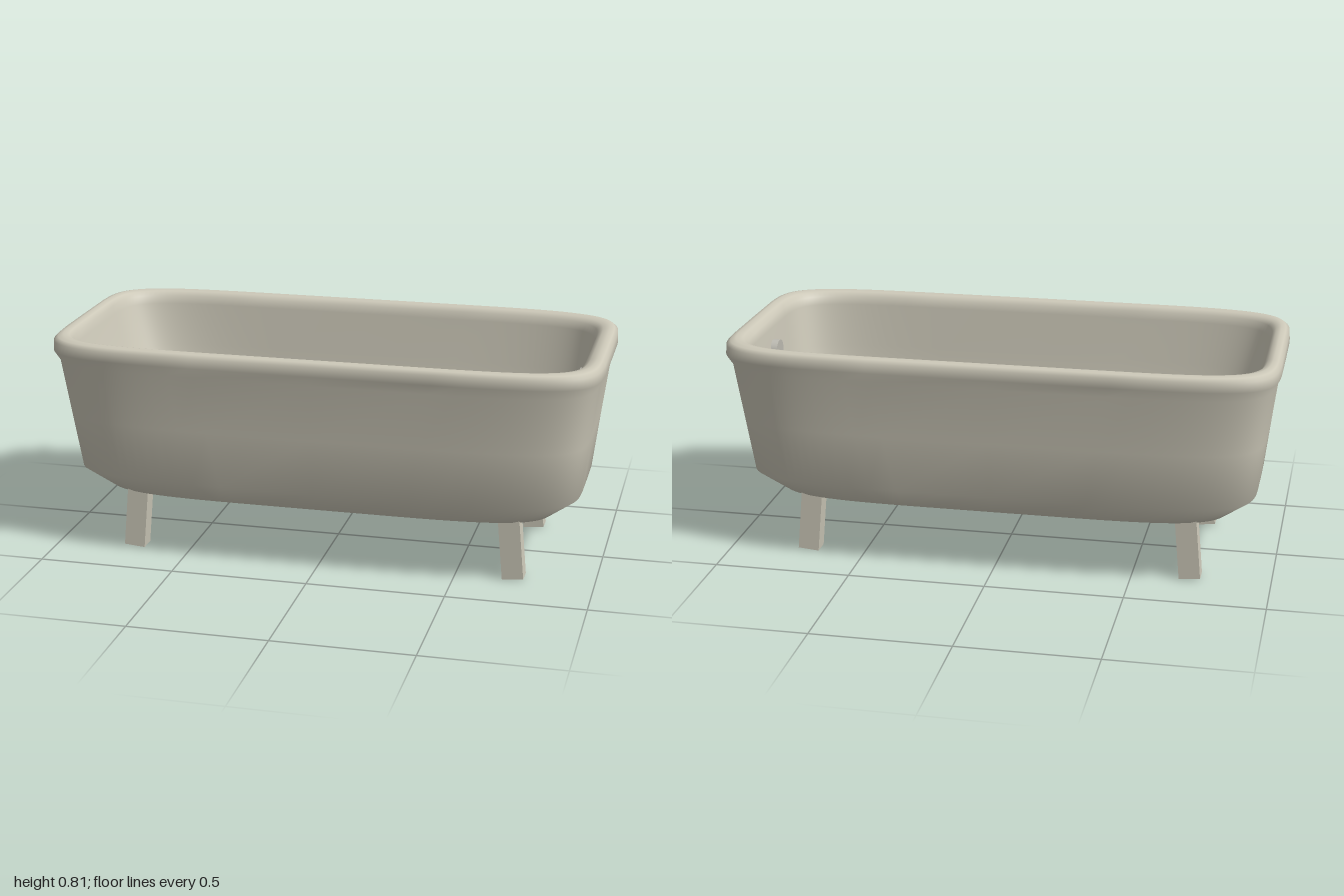
import * as THREE from 'three';

const SEGMENTS = 96;

// Cross-sections from the underside, up the outside, over the rim and down the inside:
// [height, xMin, xMax, half depth, corner squareness]
const OUTER = [
  [0.22, -0.835, 0.835, 0.335, 5],
  [0.30, -0.93, 0.93, 0.40, 5.5],
  [0.51, -0.955, 0.955, 0.425, 6],
  [0.72, -0.982, 0.982, 0.45, 6.3],
  [0.757, -1.0, 1.0, 0.466, 6.5],
  [0.793, -0.998, 0.998, 0.465, 6.5],
  [0.805, -0.985, 0.985, 0.452, 6.5],
  [0.81, -0.968, 0.968, 0.436, 6.5],
  [0.805, -0.95, 0.945, 0.418, 6.5],
  [0.79, -0.937, 0.926, 0.403, 6.5],
  [0.76, -0.93, 0.919, 0.398, 6.5],
  [0.60, -0.885, 0.905, 0.385, 6],
  [0.44, -0.83, 0.885, 0.365, 5.5],
  [0.35, -0.77, 0.86, 0.337, 5],
  [0.29, -0.66, 0.81, 0.29, 4.5],
  [0.26, -0.455, 0.715, 0.225, 4],
];

// Rounded rectangle as a superellipse, returned as [x, z] points
function outline([, x0, x1, depth, power]) {
  const bend = (v) => Math.sign(v) * Math.abs(v) ** (2 / power);
  return Array.from({ length: SEGMENTS }, (_, i) => {
    const t = (i / SEGMENTS) * Math.PI * 2;
    return [(x0 + x1) / 2 + ((x1 - x0) / 2) * bend(Math.cos(t)), depth * bend(Math.sin(t))];
  });
}

function loft(sections) {
  const positions = [];
  const index = [];
  sections.forEach((section, r) => {
    for (const [x, z] of outline(section)) positions.push(x, section[0], z);
    if (r === sections.length - 1) return;
    for (let i = 0; i < SEGMENTS; i++) {
      const a = r * SEGMENTS + i;
      const b = r * SEGMENTS + ((i + 1) % SEGMENTS);
      index.push(a, a + SEGMENTS, b, b, a + SEGMENTS, b + SEGMENTS);
    }
  });
  const geometry = new THREE.BufferGeometry();
  geometry.setAttribute('position', new THREE.Float32BufferAttribute(positions, 3));
  geometry.setIndex(index);
  geometry.computeVertexNormals();
  return geometry;
}

// Flat plate closing a section, facing up (1) or down (-1)
function cap(section, facing) {
  const shape = new THREE.Shape(outline(section).map(([x, z]) => new THREE.Vector2(x, z)));
  return new THREE.ShapeGeometry(shape)
    .rotateX((-facing * Math.PI) / 2)
    .translate(0, section[0], 0);
}

export function createModel() {
  const model = new THREE.Group();
  model.name = 'bathtub';

  const material = (name, color) => {
    const m = new THREE.MeshStandardMaterial({ color });
    m.name = name;
    return m;
  };
  const enamel = material('enamel', 0xcdc9b9);
  const copper = material('darkCopper', 0x5c3624);
  const metal = material('greyMetal', 0xbdbbb2);

  const add = (name, geometry, mat, x = 0, y = 0, z = 0) => {
    const mesh = new THREE.Mesh(geometry, mat);
    mesh.name = name;
    mesh.position.set(x, y, z);
    model.add(mesh);
    return mesh;
  };

  // Tub shell, underside and inner floor
  const floor = OUTER[OUTER.length - 1];
  add('tubShell', loft(OUTER), enamel);
  add('underside', cap(OUTER[0], -1), enamel);
  add('tubFloor', cap(floor, 1), enamel);

  // Four legs, splayed towards the ends
  const legGeometry = new THREE.BoxGeometry(0.077, 0.245, 0.066);
  for (const sx of [-1, 1]) {
    for (const sz of [-1, 1]) {
      const leg = add('leg', legGeometry, enamel, sx * 0.699, 0.126, sz * 0.267);
      leg.rotation.z = sx * 0.09;
    }
  }

  // Drain ring on the floor
  add('drainRing', new THREE.RingGeometry(0.041, 0.08, 32).rotateX(-Math.PI / 2), copper, 0.528, floor[0] + 0.005, 0);

  // Overflow disc on the end wall
  add('overflowDisc', new THREE.CylinderGeometry(0.042, 0.042, 0.026, 24).rotateZ(Math.PI / 2), metal, 0.902, 0.675, 0);

  return model;
}
